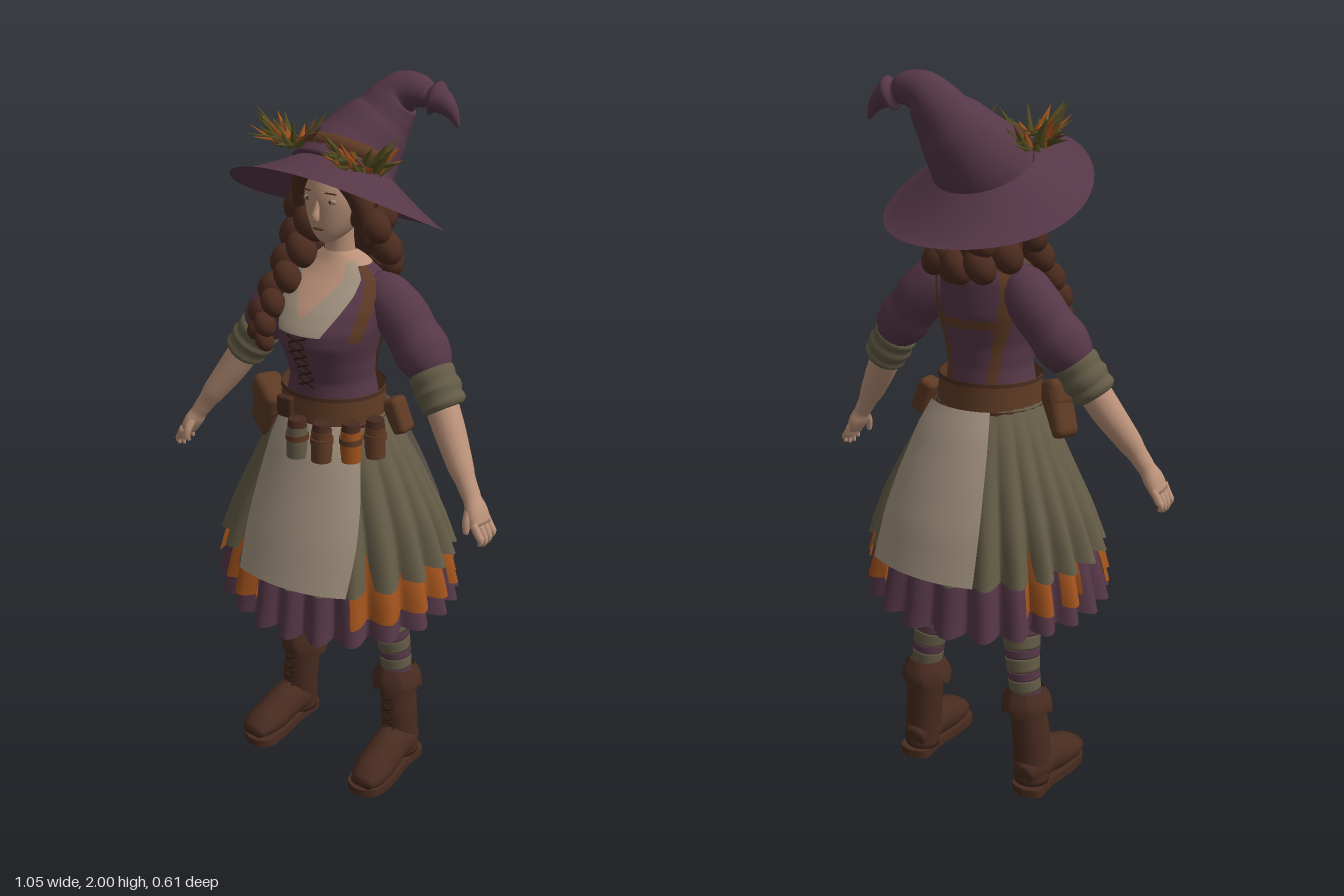
import * as THREE from 'three';
import { RoundedBoxGeometry } from 'three/addons/geometries/RoundedBoxGeometry.js';

const V = (x, y, z) => new THREE.Vector3(x, y, z);
const TAU = Math.PI * 2, { sin, cos, abs, min, max } = Math;
const paint = (name, color) => Object.assign(new THREE.MeshStandardMaterial({ color, side: THREE.DoubleSide }), { name });
const purple = paint('plum cloth', 0x563747), olive = paint('olive cloth', 0x635b46), cream = paint('cream linen', 0xa39380),
  skin = paint('skin', 0xba9179), orange = paint('rust cloth', 0xa0521c), hair = paint('auburn hair', 0x4b2b1e),
  leather = paint('belt leather', 0x5e3a24), boot = paint('boot leather', 0x482b1f), leafy = paint('leaf green', 0x534d20),
  dark = paint('dark trim', 0x2e1c14);

// Grid surface from f(u, v); closed joins the last column to the first
function grid(f, nu, nv, closed = false) {
  const pos = [], idx = [], cols = closed ? nv : nv + 1;
  for (let i = 0; i <= nu; i++) for (let j = 0; j < cols; j++) pos.push(...f(i / nu, j / nv).toArray());
  for (let i = 0; i < nu; i++) for (let j = 0; j < nv; j++) {
    const a = i * cols + j, b = i * cols + (j + 1) % cols;
    idx.push(a, a + cols, b, b, a + cols, b + cols);
  }
  const g = new THREE.BufferGeometry();
  g.setAttribute('position', new THREE.Float32BufferAttribute(pos, 3));
  g.setIndex(idx);
  g.computeVertexNormals();
  return g;
}

// Tapered tube through points [x, y, z, radius, widthRatio]
function limb(pts, { n = 24, sides = 18, u0 = 0, u1 = 1, ref = V(0, 0, 1) } = {}) {
  const path = new THREE.CatmullRomCurve3(pts.map(p => V(p[0], p[1], p[2])));
  const size = new THREE.CatmullRomCurve3(pts.map(p => V(p[3], p[4] ?? 1, 0)));
  return grid((u, v) => {
    const t = u0 + (u1 - u0) * min(1, max(0, (u * n - 1) / (n - 2)));
    const c = path.getPoint(t), T = path.getTangent(t), s = size.getPoint(t);
    const N = T.clone().cross(ref).normalize(), B = T.clone().cross(N);
    const r = u === 0 || u === 1 ? 0 : s.x;
    return c.addScaledVector(N, r * cos(v * TAU)).addScaledVector(B, -r * s.y * sin(v * TAU));
  }, n, sides, true);
}

// Point on a body of stacked ellipses; rows are [y, centreZ, radiusX, radiusZ] from the top down
function onBody(rows, y, a, off = 0) {
  let i = 0;
  while (i < rows.length - 2 && rows[i + 1][0] > y) i++;
  const t = (y - rows[i][0]) / (rows[i + 1][0] - rows[i][0]);
  const [, cz, rx, rz] = rows[i].map((v, k) => v + (rows[i + 1][k] - v) * t);
  return V((rx + off) * sin(a), y, cz + (rz + off) * cos(a));
}
// Patch on such a body between two heights; a0 and a1 are [top, bottom] angles
const patch = (rows, y0, y1, a0, a1, off, nu = 14, nv = 16) => grid((u, v) => {
  const l = a0[0] + (a0[1] - a0[0]) * u, r = a1[0] + (a1[1] - a1[0]) * u;
  return onBody(rows, y0 + (y1 - y0) * u, l + (r - l) * v, off);
}, nu, nv);

// Gathered cloth whose folds deepen toward the hem
const FOLDS = 22;
function pleated(rows, y0, y1, a0, a1, depth, nv) {
  return grid((u, v) => {
    const a = a0 + (a1 - a0) * v, w = abs(sin(FOLDS / 2 * a + 0.45 * sin(3 * a)));
    const p = onBody(rows, y0 + (y1 - y0) * u, a), k = 1 + depth * u * (w - 0.55);
    return V(p.x * k, p.y - u * u * (0.02 * sin(2 * a + 1) + 0.012 * w), p.z * k);
  }, 14, nv, a1 - a0 > 6.28);
}

const TORSO = [[1.56, -.01, .04, .04], [1.535, -.012, .08, .055], [1.505, -.012, .122, .08], [1.47, 0, .142, .105], [1.43, .018, .148, .125],
  [1.38, .035, .145, .142], [1.34, .04, .136, .138], [1.29, .035, .123, .12], [1.23, .025, .116, .108], [1.1, .02, .14, .12]];
const SKIRT = [[1.16, .02, .128, .115], [1.07, .012, .185, .16], [.95, .004, .242, .205], [.83, 0, .295, .247], [.7, 0, .335, .282]];
const UNDER = [[1.1, .01, .14, .12], [.95, 0, .2, .17], [.83, 0, .27, .23], [.7, 0, .315, .272], [.55, 0, .345, .297]];

export function createModel() {
  const root = new THREE.Group();
  const add = (name, geo, mat, parent = root) => {
    const m = new THREE.Mesh(geo, mat);
    m.name = name;
    parent.add(m);
    return m;
  };
  const ball = (name, mat, p, s, parent) => {
    const m = add(name, new THREE.SphereGeometry(1, 18, 12), mat, parent);
    m.position.set(...p); m.scale.set(...s);
    return m;
  };
  const box = (name, mat, p, s, parent, r = .008) => {
    const m = add(name, new RoundedBoxGeometry(...s, 2, r), mat, parent);
    m.position.set(...p);
    return m;
  };
  const cord = (name, pts, r, mat) => add(name, new THREE.TubeGeometry(new THREE.CatmullRomCurve3(pts), 20, r, 6), mat);

  // Bodice, blouse, neckline, lacing
  add('bodice', grid((u, v) => onBody(TORSO, 1.535 - .435 * u, v * TAU), 40, 48, true), purple);
  add('collarbone', patch(TORSO, 1.56, 1.53, [0, 0], [TAU, TAU], .003, 4, 40), skin);
  add('blouse', patch(TORSO, 1.54, 1.375, [-1.05, -.45], [1.05, .45], .006), cream);
  add('neckline', patch(TORSO, 1.55, 1.415, [-.75, -.03], [.75, .03], .01), skin);
  add('neck', limb([[0, 1.66, -.01, .042], [0, 1.56, -.01, .04], [0, 1.5, -.005, .05]]), skin);
  for (const s of [-1, 1]) {
    const pts = [];
    for (let i = 0; i < 7; i++) pts.push(onBody(TORSO, 1.37 - i * .025, (i % 2 ? s : -s) * .2, .005));
    cord('bodiceLacing', pts, .0035, dark);
  }

  // Harness straps
  for (const s of [-1, 1]) {
    add('frontStrap', patch(TORSO, 1.53, 1.36, [s * 1.0, s * .95], [s * 1.3, s * 1.2], .011), leather);
    add('backStrap', patch(TORSO, 1.54, 1.18, [Math.PI - s * .75, Math.PI - s * .4], [Math.PI - s * 1.05, Math.PI - s * .62], .011), leather);
  }
  add('crossStrap', patch(TORSO, 1.37, 1.345, [2.5, 2.5], [3.78, 3.78], .013), leather);

  // Skirt layers
  add('overskirt', pleated(SKIRT, 1.16, .72, 0, TAU, .15, 264), olive);
  add('underskirt', pleated(UNDER, 1.08, .575, 0, TAU, .13, 264), purple);
  const petticoat = add('petticoat', pleated(UNDER, 1.05, .62, 0, TAU, .22, 264), purple);
  petticoat.scale.set(.8, 1, .8);
  for (const [a, b] of [[-36, -11], [38, 98], [103, 119], [128, 147], [-133, -120], [-113, -98], [-78, -58]]) {
    const m = add('rustPanel', pleated(UNDER, .98, .63, a * Math.PI / 180, b * Math.PI / 180, .13, 40), orange);
    m.scale.set(1.035, 1, 1.035);
  }
  // Aprons, front and back
  add('frontApron', patch(SKIRT, 1.13, .70, [-.52, -.36], [.95, .62], .021), cream);
  add('backApron', patch(SKIRT, 1.13, .70, [2.35, 2.5], [3.65, 3.52], .021), cream);

  // Belt with buckle, jars and pouches
  const band = (name, y0, y1, off, mat) => add(name, patch([[1.3, .02, .128, .118], [1, .02, .155, .145]], y0, y1, [0, 0], [TAU, TAU], off, 3, 48), mat);
  band('belt', 1.2, 1.115, .004, leather);
  band('beltEdgeTop', 1.2, 1.19, .008, boot);
  band('beltEdgeBottom', 1.125, 1.115, .008, boot);
  box('buckle', boot, [-.05, 1.16, .165], [.05, .06, .02]);
  [[.06, olive], [.44, leather], [.86, orange], [1.25, leather]].forEach(([a, mat]) => {
    const jar = new THREE.Group();
    jar.name = 'jar';
    jar.position.set(.185 * sin(a), 1.088, .02 + .175 * cos(a));
    root.add(jar);
    add('jarBody', new THREE.CylinderGeometry(.027, .029, .085, 16), mat, jar);
    add('jarBand', new THREE.CylinderGeometry(.031, .031, .016, 16), leather, jar).position.y = .015;
    add('jarCap', new THREE.CylinderGeometry(.023, .026, .022, 16), boot, jar).position.y = .052;
  });
  const pouch = new THREE.Group();
  pouch.name = 'pouch';
  pouch.position.set(-.165, 1.108, .08);
  pouch.rotation.set(0, -.5, -.35);
  root.add(pouch);
  box('pouchBody', leather, [0, -.012, 0], [.115, .15, .075], pouch, .022);
  box('pouchFlap', leather, [0, .035, .006], [.122, .08, .08], pouch, .022);
  box('hipPouch', leather, [.17, 1.12, -.04], [.05, .1, .06], root, .015).rotation.z = .4;

  // Arms and hands
  for (const s of [-1, 1]) {
    const arm = new THREE.Group();
    arm.name = s > 0 ? 'leftArm' : 'rightArm';
    arm.scale.x = s;
    root.add(arm);
    add('sleeve', limb([[.085, 1.48, -.015, .04], [.13, 1.45, -.025, .066], [.18, 1.4, -.035, .071], [.212, 1.362, -.033, .069], [.242, 1.328, -.03, .074],
      [.27, 1.295, -.025, .066], [.29, 1.27, -.02, .05]]), purple, arm);
    add('cuff', limb([[.272, 1.287, -.02, .05], [.285, 1.27, -.018, .062], [.297, 1.252, -.016, .059], [.308, 1.236, -.014, .064], [.32, 1.218, -.01, .058],
      [.33, 1.204, -.008, .061], [.338, 1.192, -.006, .05]]), olive, arm);
    add('forearm', limb([[.31, 1.23, -.01, .045], [.36, 1.15, .01, .042], [.42, 1.06, .038, .033], [.457, 1.005, .05, .024, 1.1], [.478, .972, .056, .024, 1.5],
      [.497, .937, .06, .018, 2.1]]), skin, arm);
    for (let i = 0; i < 4; i++) {
      const z = .03 + i * .02, d = abs(i - 1.6) * .008;
      add('finger', limb([[.492, .95, z + .002, .011], [.509, .92, z, .0105], [.516, .898 + d, z, .009], [.512, .882 + d, z, .005]], { n: 10, sides: 10 }), skin, arm);
    }
    add('thumb', limb([[.47, .985, .068, .014], [.474, .95, .093, .012], [.477, .92, .1, .007]], { n: 10, sides: 10 }), skin, arm);
  }

  // Striped stockings and boots
  const LEG = [[.115, .86, -.02, .085], [.128, .7, -.025, .072], [.138, .57, -.035, .06], [.147, .47, -.05, .054], [.16, .37, -.06, .047], [.17, .28, -.06, .044]];
  const sole = new THREE.Shape();
  sole.moveTo(0, -.122);
  sole.splineThru([[.042, -.1], [.043, -.02], [.056, .08], [.045, .15], [0, .176], [-.045, .15], [-.05, .08], [-.041, -.02], [-.042, -.1], [0, -.122]].map(p => new THREE.Vector2(...p)));
  for (const s of [-1, 1]) {
    const leg = new THREE.Group();
    leg.name = s > 0 ? 'leftLeg' : 'rightLeg';
    leg.scale.x = s;
    root.add(leg);
    for (let i = 0, u = 0; u < .99; i++) {
      const e = min(1, u + (i % 2 ? .05 : i ? .08 : .14));
      add(i % 2 ? 'stockingStripe' : 'stocking', limb(LEG, { n: 8, u0: u, u1: e }), i % 2 ? purple : olive, leg);
      u = e;
    }
    add('bootShaft', limb([[.17, .3, -.06, .055], [.176, .24, -.058, .052], [.183, .17, -.055, .054], [.188, .1, -.055, .053], [.19, .025, -.06, .05]]), boot, leg);
    add('bootFoot', limb([[.188, .06, -.11, .03], [.19, .072, -.07, .05], [.193, .075, 0, .058, .9], [.198, .057, .07, .05, 1.1], [.202, .048, .12, .04, 1.3], [.202, .038, .165, .02, 1.7]],
      { ref: V(1, 0, 0) }), boot, leg);
    const foot = add('bootSole', new THREE.ExtrudeGeometry(sole, { depth: .024, bevelEnabled: false, curveSegments: 30 }), boot, leg);
    foot.rotation.x = Math.PI / 2;
    foot.position.set(.195, .024, 0);
    foot.scale.x = 1.06;
    add('bootCuff', grid((u, v) => {
      const a = v * TAU, r = .05 + .023 * sin(u * 1.7);
      return V(.171 + r * sin(a), .318 - .05 * u - u * .02 * abs(sin(a * 3.5 + .5)), -.06 + r * cos(a));
    }, 6, 56, true), boot, leg);
    for (let i = 0; i < 4; i++) for (const k of [-1, 1])
      box('bootLace', dark, [.181 + i * .002, .225 - i * .034, -.003 + i * .002], [.04, .004, .006], leg, .0015).rotation.z = k * .5;
  }

  // Head and face
  const skull = new THREE.SphereGeometry(1, 36, 28), q = skull.attributes.position;
  for (let i = 0; i < q.count; i++) {
    const x = q.getX(i), y = q.getY(i), z = q.getZ(i), low = max(0, -y);
    q.setXYZ(i, x * .083 * (1 - .3 * low * low), 1.7 + y * .114, z * .09 * (1 - .1 * low) + low * low * .045);
  }
  skull.computeVertexNormals();
  add('head', skull, skin);
  add('nose', limb([[0, 1.705, .083, .006], [0, 1.68, .091, .008], [0, 1.66, .097, .011], [0, 1.652, .09, .007]], { n: 12, sides: 12 }), skin);
  ball('lips', leather, [0, 1.63, .084], [.018, .004, .005]);
  for (const s of [-1, 1]) {
    ball('eye', cream, [s * .035, 1.703, .077], [.016, .007, .006]);
    ball('iris', leather, [s * .035, 1.703, .0815], [.005, .005, .003]);
    const brow = box('brow', hair, [s * .036, 1.724, .08], [.03, .003, .006], root, .001);
    brow.rotation.set(0, s * .4, s * -.1);
    add('frontLock', limb([[s * .004, 1.798, .068, .016], [s * .05, 1.775, .07, .024], [s * .085, 1.72, .043, .025], [s * .097, 1.65, .018, .026], [s * .095, 1.6, .01, .022]]), hair);
  }

  // Hair and braids
  ball('hairCap', hair, [0, 1.715, -.035], [.097, .1, .085]);
  ball('backHair', hair, [0, 1.62, -.075], [.095, .11, .07]);
  const braid = (name, pts, r0, r1, n) => {
    const c = new THREE.CatmullRomCurve3(pts.map(p => V(...p)));
    for (let i = 0; i < n; i++) {
      const t = i / (n - 1), p = c.getPoint(t), r = r0 + (r1 - r0) * t, k = i % 2 ? 1 : -1;
      ball(name, hair, [p.x + k * r * .5, p.y, p.z + k * r * .15], [r * .85, r * 1.1, r * .9]).rotation.z = k * .6;
    }
  };
  braid('shoulderBraid', [[-.09, 1.66, .01], [-.1, 1.58, .03], [-.105, 1.51, .08], [-.12, 1.44, .13], [-.13, 1.38, .16], [-.13, 1.33, .162]], .052, .028, 12);
  braid('backBraid', [[.09, 1.67, .01], [.1, 1.6, -.03], [.08, 1.53, -.1], [.01, 1.51, -.125], [-.06, 1.53, -.11], [-.1, 1.56, -.03]], .042, .048, 12);
  braid('napeBraid', [[.06, 1.66, -.11], [0, 1.61, -.125], [-.06, 1.57, -.115]], .045, .045, 6);

  // Hat: tilted conical brim and a crooked crown
  add('hatBrim', grid((u, v) => {
    const a = v * TAU, r = .12 + .166 * u;
    const p = V(r * .97 * sin(a), .075 * (1 - u) ** 1.4, r * cos(a)).applyAxisAngle(V(1, 0, 0), -.425);
    return p.add(V(0, 1.7 - .03 * u * u * sin(a) ** 2, .005));
  }, 12, 64, true), purple);
  add('hatCrown', limb([[0, 1.735, -.012, .14], [.004, 1.772, -.043, .129], [.02, 1.815, -.076, .11], [.042, 1.86, -.105, .092], [.055, 1.885, -.121, .077], [.07, 1.915, -.136, .068],
    [.092, 1.942, -.148, .055], [.135, 1.95, -.153, .043], [.16, 1.943, -.156, .034], [.19, 1.935, -.16, .034], [.222, 1.912, -.165, .021], [.245, 1.872, -.17, .004]], { n: 60, sides: 28 }), purple);
  const ring = add('hatBand', new THREE.TorusGeometry(.125, .011, 10, 32, 2.4).rotateZ(Math.PI + .37), leather);
  ring.position.set(.004, 1.778, -.046);
  ring.rotation.x = -Math.PI / 2 - .61;
  ring.scale.z = 1.6;

  // Leaf sprays on the hat
  let seed = 7;
  const rnd = () => (seed = (seed * 16807) % 2147483647) / 2147483647;
  const leaf = new THREE.ConeGeometry(1, 1, 4).translate(0, .5, 0);
  for (const [x, y, z, accent] of [[-.115, 1.81, .035, leafy], [.12, 1.79, .065, orange]]) for (let i = 0; i < 60; i++) {
    const a = rnd() * TAU, m = add('leaf', leaf, [leafy, leafy, leather, leafy, accent, orange][i % 6]);
    m.position.set(x + .035 * sin(a), y + .02 * rnd() + .015 * cos(a), z + .045 * cos(a));
    m.quaternion.setFromUnitVectors(V(0, 1, 0), V(sin(a) * .8, .1 + rnd() * 1.3, cos(a) * 1.1).normalize());
    m.scale.set(.011 + rnd() * .01, .045 + rnd() * .055, .006);
  }
  return root;
}
